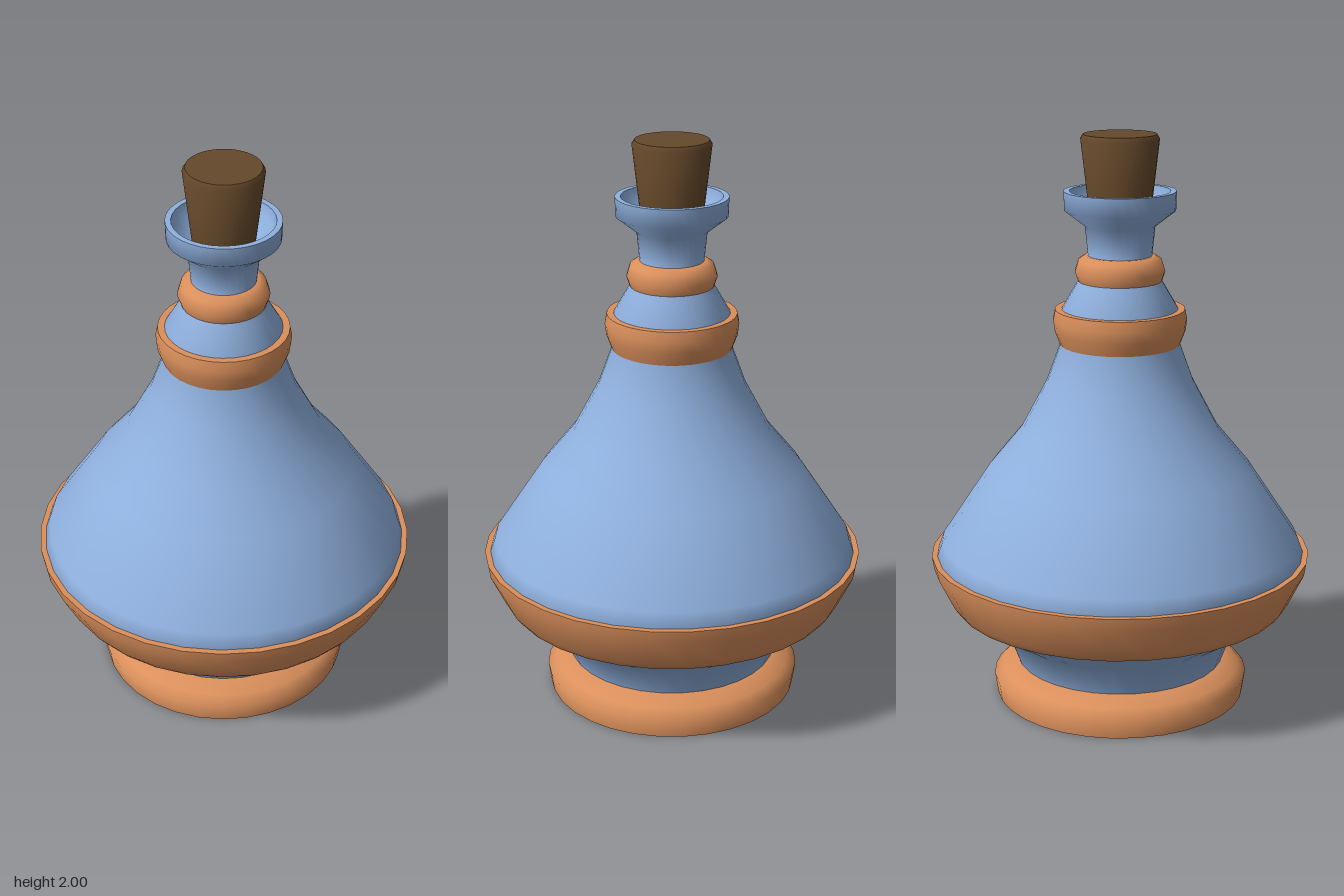
import * as THREE from 'three';
import { toCreasedNormals } from 'three/addons/utils/BufferGeometryUtils.js';

const SIDES = 32;
const glass = new THREE.MeshStandardMaterial({ color: 0x8fb0de });
const copper = new THREE.MeshStandardMaterial({ color: 0xdb905c });
const corkWood = new THREE.MeshStandardMaterial({ color: 0x65482a });

// Turns a profile of [radius, height] pairs, listed bottom to top on the outside
function turned(name, material, profile) {
  const points = profile.map(([r, y]) => new THREE.Vector2(r, y));
  const geometry = toCreasedNormals(new THREE.LatheGeometry(points, SIDES), 1.0);
  const mesh = new THREE.Mesh(geometry, material);
  mesh.name = name;
  return mesh;
}

export function createModel() {
  const bottle = new THREE.Group();
  bottle.name = 'bottle';

  bottle.add(
    // Glass: flat underside, waist, belly, neck, flared lip and the cup inside it
    turned('glassBody', glass, [
      [0, 0], [0.44, 0], [0.44, 0.06], [0.37, 0.13], [0.41, 0.24], [0.58, 0.35],
      [0.65, 0.53], [0.632, 0.58], [0.46, 0.84], [0.345, 0.98], [0.255, 1.15],
      [0.208, 1.28], [0.2, 1.405], [0.145, 1.5], [0.11, 1.59], [0.12, 1.69],
      [0.19, 1.745], [0.192, 1.81], [0.172, 1.81], [0.165, 1.765], [0.1, 1.7], [0, 1.7],
    ]),

    // Metal bands
    turned('footBand', copper, [
      [0.43, 0.001], [0.445, 0], [0.455, 0.07], [0.425, 0.1], [0.37, 0.13], [0.36, 0.13],
    ]),
    turned('bellyBand', copper, [
      [0.56, 0.35], [0.592, 0.35], [0.61, 0.375], [0.663, 0.485], [0.67, 0.53], [0.64, 0.53],
    ]),
    turned('shoulderBand', copper, [
      [0.19, 1.28], [0.207, 1.28], [0.226, 1.33], [0.231, 1.37], [0.224, 1.405], [0.19, 1.405],
    ]),
    turned('neckBand', copper, [
      [0.13, 1.5], [0.143, 1.5], [0.155, 1.535], [0.143, 1.575], [0.12, 1.59], [0.1, 1.59],
    ]),

    // Tapered stopper with a softened top edge
    turned('cork', corkWood, [
      [0, 1.69], [0.1, 1.69], [0.134, 1.985], [0.125, 2], [0, 2],
    ]),
  );
  return bottle;
}
